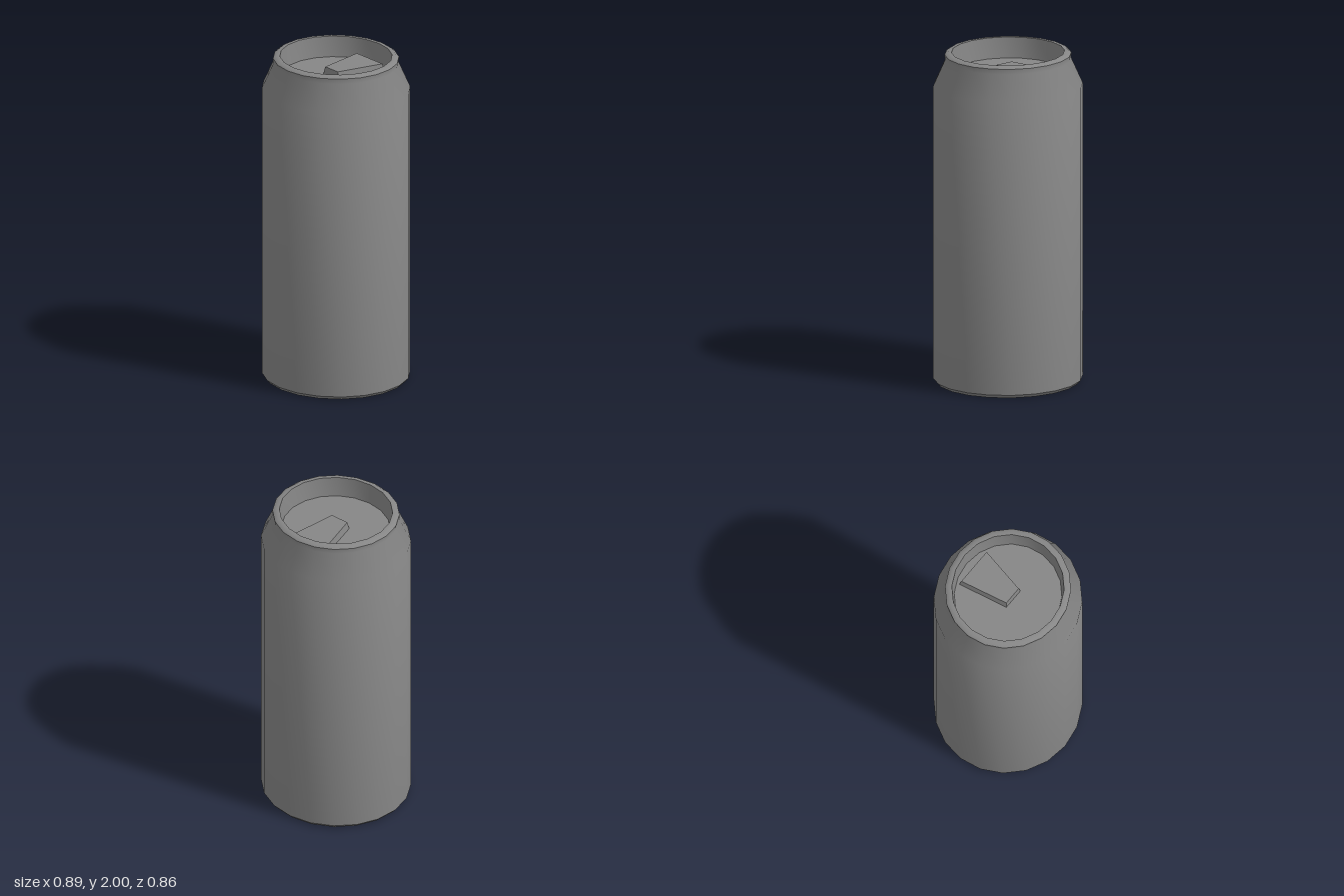
import * as THREE from 'three';
import { toCreasedNormals } from 'three/addons/utils/BufferGeometryUtils.js';

const SIDES = 20;
const DEPTH_SCALE = 0.967; // the can is slightly oval
const LID_Y = 1.876;

const material = new THREE.MeshStandardMaterial({ color: 0x868686 });

// Revolve [radius, height] pairs, smooth around the can and over gentle bends
function revolve(name, profile) {
  const points = profile.map(([r, y]) => new THREE.Vector2(r, y));
  const lathe = new THREE.LatheGeometry(points, SIDES);
  lathe.scale(1, 1, DEPTH_SCALE);
  const mesh = new THREE.Mesh(toCreasedNormals(lathe, 0.7), material);
  mesh.name = name;
  return mesh;
}

// Tapered tab with sloping sides: a box reshaped by a rule
function makeTab() {
  const box = new THREE.BoxGeometry(1, 1, 1);
  const pos = box.attributes.position;
  for (let i = 0; i < pos.count; i++) {
    const top = pos.getY(i) > 0;
    const front = pos.getZ(i) > 0;
    const halfWidth = (front ? 0.067 : 0.127) - (top ? 0.009 : 0);
    const z = front ? (top ? 0.034 : 0.041) : (top ? -0.257 : -0.265);
    pos.setXYZ(i, Math.sign(pos.getX(i)) * halfWidth, top ? LID_Y + 0.045 : LID_Y, z);
  }
  box.computeVertexNormals();
  const mesh = new THREE.Mesh(box, material);
  mesh.name = 'pullTab';
  return mesh;
}

export function createModel() {
  const can = new THREE.Group();
  can.name = 'drinkCan';

  // Recessed underside with a softened inner corner
  can.add(revolve('recess', [
    [0, 0.09], [0.31, 0.09], [0.33, 0.087], [0.345, 0.075], [0.395, 0.02], [0.41, 0],
  ]));

  // Standing ring and bottom chamfer
  can.add(revolve('foot', [[0.41, 0], [0.43, 0], [0.447, 0.02]]));

  // Straight wall, tapered shoulder and neck
  can.add(revolve('body', [
    [0.447, 0.02], [0.447, 1.8], [0.377, 1.955], [0.379, 1.987],
  ]));

  // Bevelled rim and the well it encloses
  can.add(revolve('rim', [
    [0.379, 1.987], [0.361, 2], [0.338, 2], [0.324, LID_Y],
  ]));

  // Sunken lid
  can.add(revolve('lid', [[0.324, LID_Y], [0, LID_Y]]));

  can.add(makeTab());
  return can;
}
